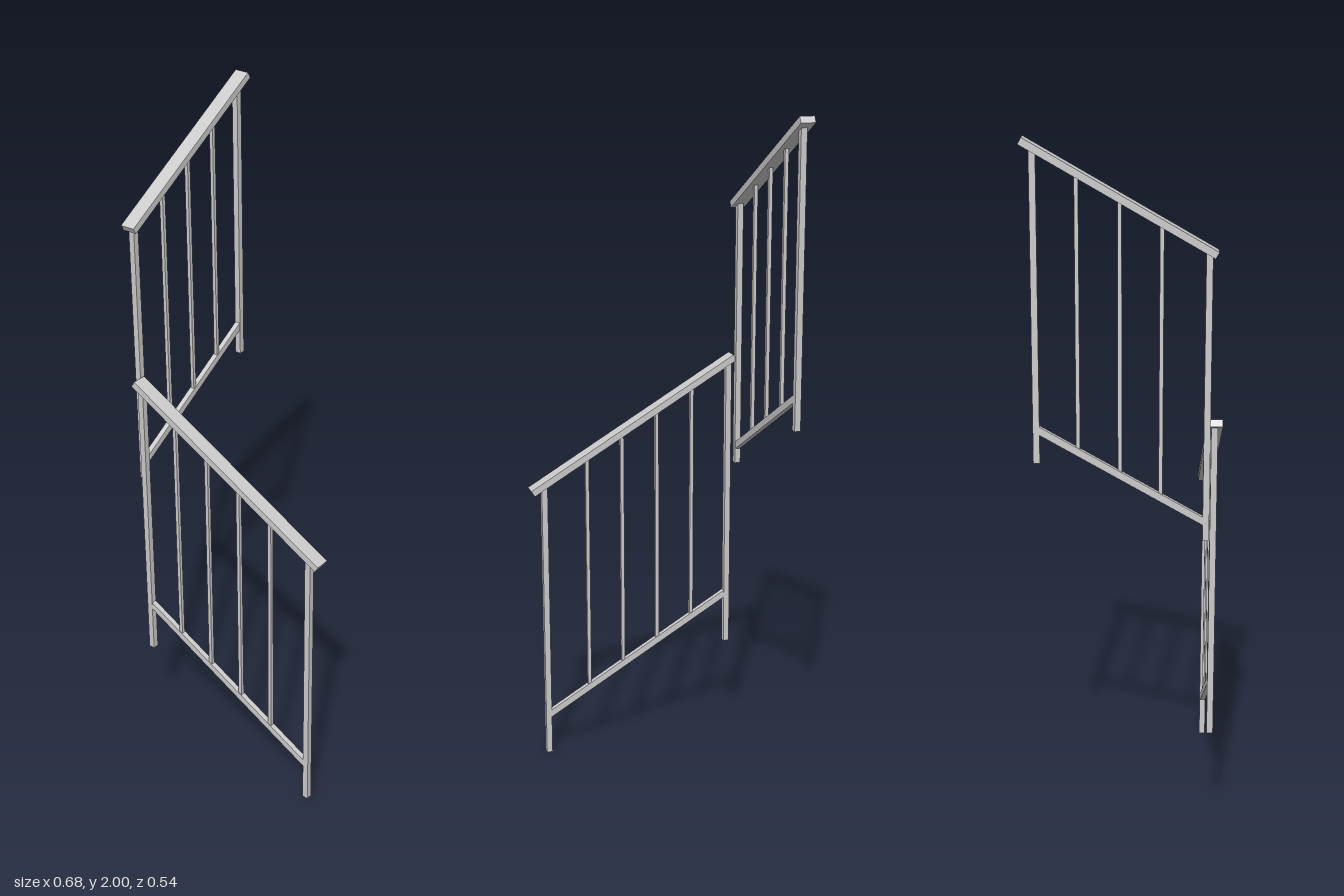
import * as THREE from 'three';

const PITCH = Math.PI / 6;      // stair slope
const RAIL_GAP = 0.757;         // vertical distance between bottom rail and handrail
const POST = 0.018, BALUSTER = 0.011, THICK = 0.02, CAP_WIDTH = 0.044;

const material = new THREE.MeshStandardMaterial({ color: 0xcccccc });

function box(name, w, h, d, x, y, parent) {
  const mesh = new THREE.Mesh(new THREE.BoxGeometry(w, h, d), material);
  mesh.name = name;
  mesh.position.set(x, y, 0);
  parent.add(mesh);
  return mesh;
}

// One sloping flight of railing running down along local +x.
// base: height of the bottom rail's centre line at local x = 0
function railing(name, { base, posts, balusters, capCentre, capLength }) {
  const group = new THREE.Group();
  group.name = name;
  const low = (x) => base - x * Math.tan(PITCH);
  const high = (x) => low(x) + RAIL_GAP;

  // Flat handrail overhanging the end posts
  box('handrail', capLength, THICK, CAP_WIDTH, capCentre, high(capCentre), group).rotation.z = -PITCH;

  // Bottom rail spanning between the posts
  const [a, b] = posts.map((p) => p.at);
  const mid = (a + b) / 2;
  box('bottomRail', (b - a) / Math.cos(PITCH), THICK, POST - 0.002, mid, low(mid), group).rotation.z = -PITCH;

  // End posts reaching down to their feet
  for (const { at, foot } of posts) {
    box('post', POST, high(at) - foot, POST, at, (high(at) + foot) / 2, group);
  }

  // Thin balusters between the two rails
  for (const x of balusters) {
    box('baluster', BALUSTER, RAIL_GAP, BALUSTER, x, (low(x) + high(x)) / 2, group);
  }
  return group;
}

export function createModel() {
  const model = new THREE.Group();
  model.name = 'stairRailing';

  // Lower flight, across the front
  const lower = railing('lowerRailing', {
    base: 0.295,
    posts: [{ at: -0.295, foot: 0.3 }, { at: 0.294, foot: 0 }],
    balusters: [-0.177, -0.064, 0.048, 0.159],
    capCentre: 0.0115,
    capLength: 0.743,
  });
  lower.position.z = 0.248;

  // Upper flight, turned to climb towards the back
  const upper = railing('upperRailing', {
    base: 1.081,
    posts: [{ at: -0.235, foot: 1.12 }, { at: 0.227, foot: 0.898 }],
    balusters: [-0.122, -0.009, 0.102],
    capCentre: -0.0095,
    capLength: 0.592,
  });
  upper.rotation.y = -Math.PI / 2;
  upper.position.x = -0.319;

  model.add(lower, upper);
  return model;
}
